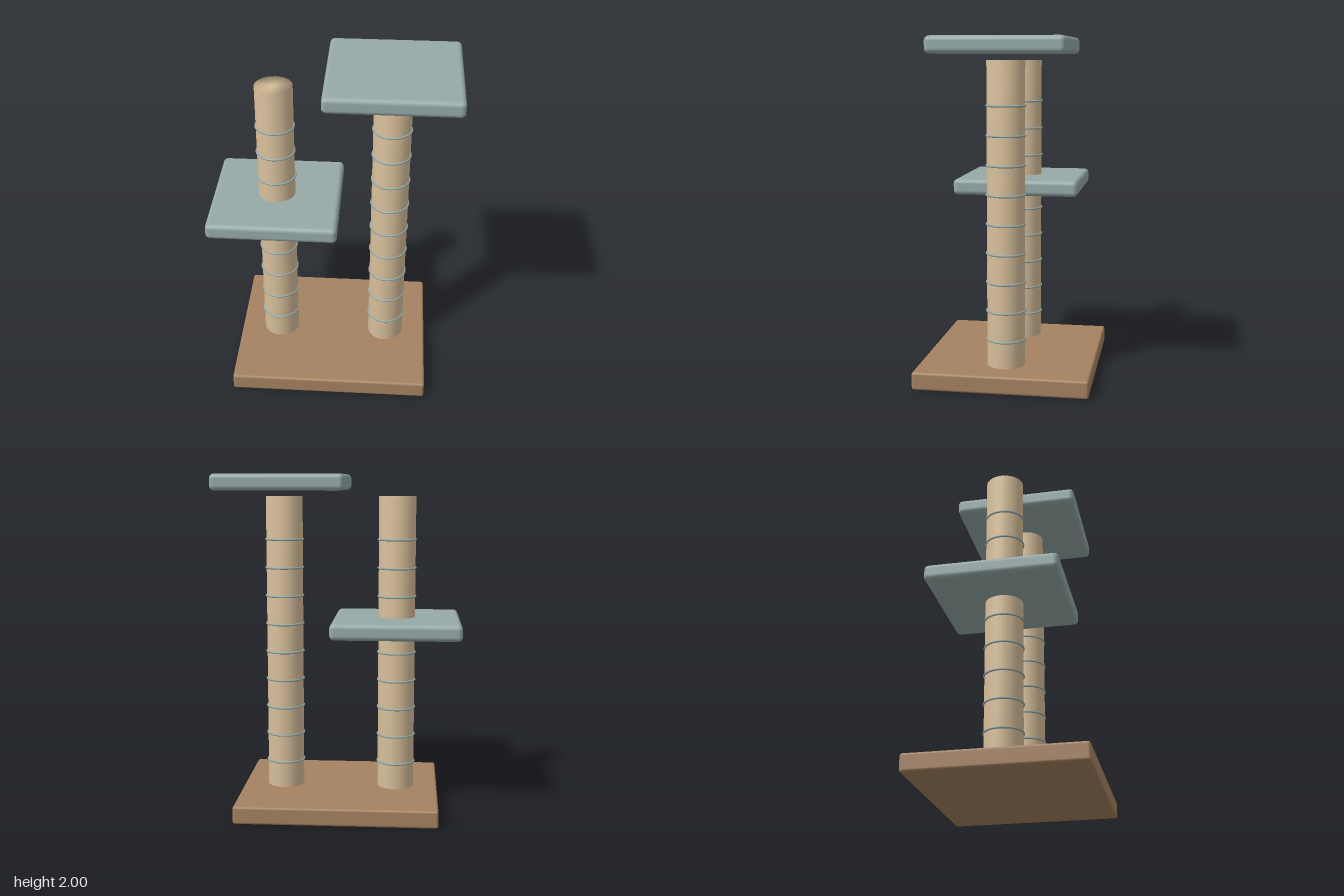
import * as THREE from 'three';
import { RoundedBoxGeometry } from 'three/addons/geometries/RoundedBoxGeometry.js';
import { mergeVertices } from 'three/addons/utils/BufferGeometryUtils.js';

const material = (name, color) => {
  const m = new THREE.MeshStandardMaterial({ color });
  m.name = name;
  return m;
};

export function createModel() {
  const wood = material('brown wood', 0xa58260);
  const plush = material('grey teal plush', 0x96aaa8);
  const sisal = material('tan sisal', 0xd9c09c);

  const model = new THREE.Group();
  model.name = 'catTree';

  const add = (parent, name, geometry, mat, x, y, z = 0) => {
    const mesh = new THREE.Mesh(geometry, mat);
    mesh.name = name;
    mesh.position.set(x, y, z);
    parent.add(mesh);
    return mesh;
  };

  // Base board
  add(model, 'base', new RoundedBoxGeometry(1.185, 0.105, 1.015, 3, 0.015), wood, 0, 0.0525);

  // Post with normals shared between side and ends, for a soft rim
  let postGeometry = new THREE.CylinderGeometry(0.11, 0.11, 1.77, 24);
  postGeometry.deleteAttribute('normal');
  postGeometry.deleteAttribute('uv');
  postGeometry = mergeVertices(postGeometry);
  postGeometry.computeVertexNormals();

  // Cord rings wrapped round the posts
  const ringGeometry = new THREE.TorusGeometry(0.111, 0.0065, 8, 32);
  ringGeometry.rotateX(Math.PI / 2);

  const platformGeometry = new RoundedBoxGeometry(0.76, 0.096, 0.76, 4, 0.028);

  // The right post carries the low platform, the left post the high one
  for (const [side, sign, platformY] of [['right', -1, 1.105], ['left', 1, 1.952]]) {
    const tower = new THREE.Group();
    tower.name = side + 'Tower';
    model.add(tower);
    add(tower, side + 'Post', postGeometry, sisal, sign * 0.338, 0.985);
    for (let i = 0; i < 9; i++) {
      add(tower, side + 'Ring' + (i + 1), ringGeometry, plush, sign * 0.338, 0.26 + i * 0.1694);
    }
    add(tower, side + 'Platform', platformGeometry, plush, sign * 0.338, platformY);
  }
  return model;
}
